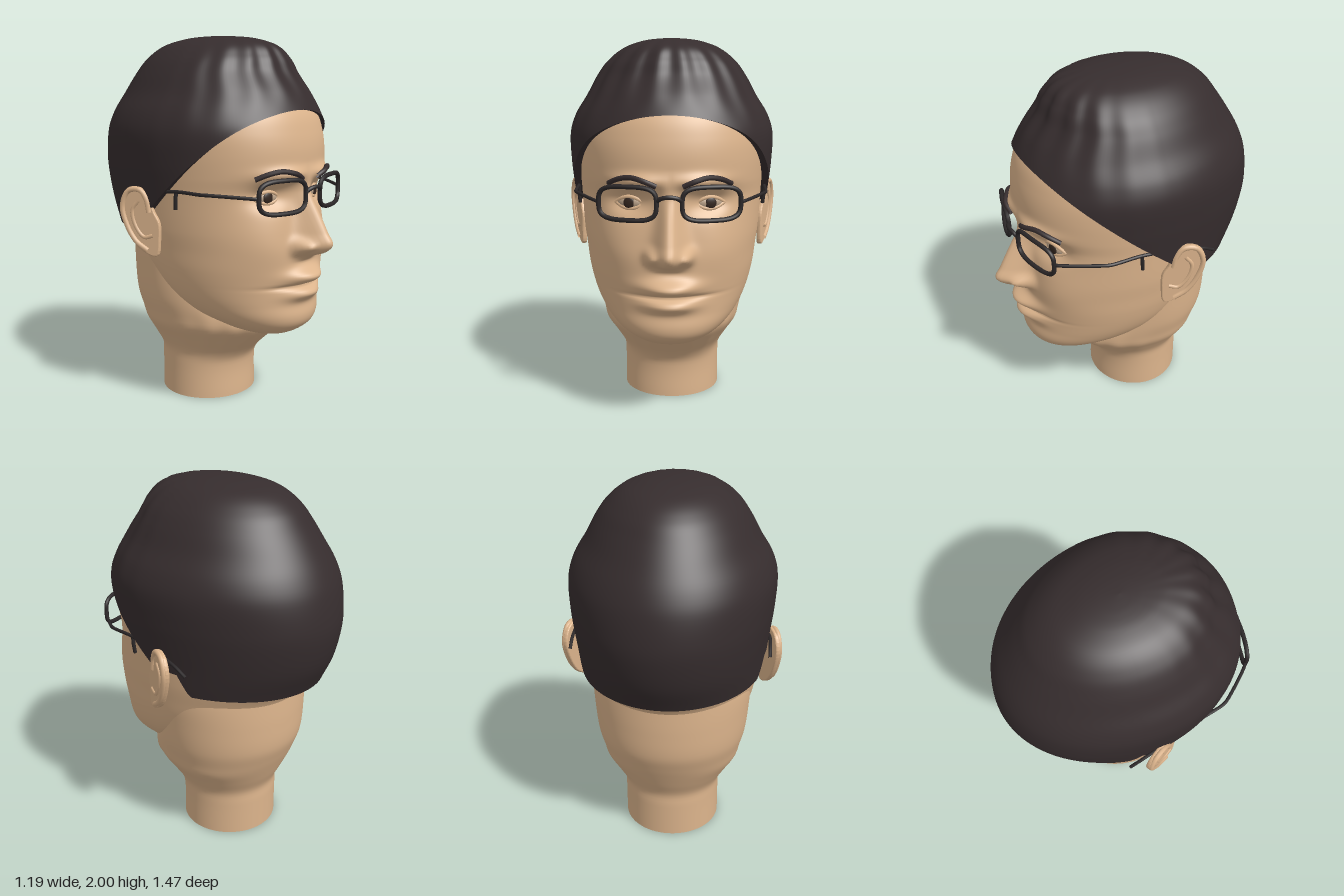
import * as THREE from 'three';

const V = (x, y, z) => new THREE.Vector3(x, y, z);
const mat = (name, color, side = THREE.FrontSide) =>
  Object.assign(new THREE.MeshStandardMaterial({ color, side }), { name });

// Smooth lookup in rows of [y, a, b, ...]; returns the interpolated [a, b, ...].
function lookup(rows, y) {
  const last = rows.length - 1;
  y = Math.min(Math.max(y, rows[0][0]), rows[last][0]);
  let i = 0;
  while (i < last - 1 && y > rows[i + 1][0]) i++;
  const slope = (k, c) => {
    const p = rows[Math.max(k - 1, 0)], q = rows[Math.min(k + 1, last)];
    return (q[c] - p[c]) / (q[0] - p[0]);
  };
  const h = rows[i + 1][0] - rows[i][0], t = (y - rows[i][0]) / h;
  return rows[0].slice(1).map((_, k) => {
    const c = k + 1, a = rows[i][c], b = rows[i + 1][c];
    return a + (b - a) * t * t * (3 - 2 * t)
      + h * t * (1 - t) * (slope(i, c) * (1 - t) - slope(i + 1, c) * t);
  });
}

// Section rows: y, half width, front z, back z, z of the widest point
const HEAD = [
  [0.425, 0, 0.4, 0.4, 0.4], [0.435, 0.12, 0.47, 0.3, 0.36], [0.46, 0.2, 0.525, 0.2, 0.3],
  [0.5, 0.27, 0.57, 0.08, 0.25], [0.55, 0.335, 0.585, -0.05, 0.17], [0.62, 0.39, 0.575, -0.2, 0.1],
  [0.7, 0.428, 0.57, -0.35, 0.05], [0.8, 0.455, 0.575, -0.46, 0.02], [0.9, 0.47, 0.575, -0.515, 0],
  [1.0, 0.483, 0.565, -0.575, 0], [1.2, 0.495, 0.55, -0.62, 0], [1.28, 0.5, 0.57, -0.64, 0],
  [1.4, 0.505, 0.575, -0.64, 0], [1.5, 0.5, 0.56, -0.62, 0], [1.6, 0.47, 0.525, -0.58, 0],
  [1.75, 0.39, 0.42, -0.5, 0],
];
const NECK = [
  [0, 0.273, 0.16, -0.37, -0.1], [0.2, 0.273, 0.16, -0.37, -0.1], [0.27, 0.28, 0.2, -0.37, -0.1],
  [0.36, 0.33, 0.29, -0.41, -0.1], [0.44, 0.38, 0.36, -0.445, -0.1], [0.5, 0.395, 0.36, -0.47, -0.1],
  [0.6, 0.42, 0.3, -0.503, -0.1], [0.75, 0.435, 0.25, -0.51, -0.1], [0.9, 0.44, 0.2, -0.505, -0.1],
  [1.0, 0.42, 0.2, -0.5, -0.1],
];
const HAIR = [
  [0.9, 0.5, 0.58, -0.6, 0], [1.0, 0.515, 0.58, -0.645, 0], [1.12, 0.525, 0.585, -0.7, 0],
  [1.25, 0.54, 0.59, -0.73, 0], [1.35, 0.55, 0.595, -0.735, 0], [1.5, 0.553, 0.585, -0.71, 0],
  [1.6, 0.522, 0.545, -0.67, 0], [1.7, 0.46, 0.49, -0.61, 0], [1.8, 0.405, 0.415, -0.54, 0],
  [1.88, 0.345, 0.375, -0.475, 0], [1.95, 0.255, 0.31, -0.37, -0.02], [1.985, 0.155, 0.19, -0.24, -0.03],
  [1.997, 0.07, 0.06, -0.13, -0.04], [2, 0, -0.04, -0.04, -0.04],
];
// Nose height above the face along y
const NOSE = [[0.845, 0], [0.875, 0.05], [0.9, 0.12], [0.945, 0.165], [1.0, 0.14], [1.1, 0.095],
  [1.2, 0.045], [1.28, 0.01], [1.35, 0]];

function section(rows, y, a) {
  const [w, front, back, mid] = lookup(rows, y);
  const c = Math.cos(a), s = Math.sin(a), n = rows === HEAD && s > 0 ? 2.12 : 2;
  const d = Math.pow(Math.max(0, 1 - Math.pow(Math.abs(c), n)), 1 / n);
  return V(w * c, y, mid + (s > 0 ? front - mid : back - mid) * d);
}

// Relief of the face: nose, lips, eye sockets, brows and cheeks
function relief(x, y) {
  const ax = Math.abs(x);
  const g = (cx, cy, sx, sy) => Math.exp(-(((ax - cx) / sx) ** 2) - ((y - cy) / sy) ** 2);
  const width = 0.07 - 0.02 * THREE.MathUtils.smoothstep(y, 0.94, 1.15);
  const lip = Math.exp(-((ax / 0.13) ** 2.2));
  return lookup(NOSE, y)[0] * Math.exp(-((ax / width) ** 2.2))
    + 0.065 * g(0.088, 0.93, 0.032, 0.036)
    + lip * (0.075 * g(ax, 0.765, 1, 0.04) + 0.058 * g(ax, 0.675, 1, 0.036))
    - 0.03 * g(0, 0.717, 0.18, 0.01)
    - 0.05 * g(0.2, 1.185, 0.1, 0.06) + 0.035 * g(0.15, 1.295, 0.13, 0.035)
    + 0.02 * g(0.27, 0.95, 0.14, 0.14);
}
function faceZ(x, y) {
  const w = lookup(HEAD, y)[0];
  return section(HEAD, y, Math.acos(x / w)).z + relief(x, y);
}

// Skin of quads over rings of points running from bottom to top
function loft(rows, segs, point) {
  const pos = [], index = [];
  for (let i = 0; i <= rows; i++) for (let j = 0; j < segs; j++) {
    pos.push(...point(i, (j / segs) * Math.PI * 2).toArray());
    if (i === rows) continue;
    const k = (j + 1) % segs, a = i * segs + j, b = a + segs, c = i * segs + k;
    index.push(a, b, c, b, c + segs, c);
  }
  const geo = new THREE.BufferGeometry();
  geo.setAttribute('position', new THREE.Float32BufferAttribute(pos, 3));
  geo.setIndex(index);
  geo.computeVertexNormals();
  return geo;
}

const tube = (pts, r, closed = false, segs = 32) =>
  new THREE.TubeGeometry(new THREE.CatmullRomCurve3(pts, closed, 'centripetal'), segs, r, 8, closed);

// Mirror across x, turning the faces the right way round again
function mirrored(geo) {
  const g = geo.index ? geo.toNonIndexed() : geo.clone();
  g.scale(-1, 1, 1);
  for (const name of ['position', 'normal']) {
    const at = g.attributes[name], p = V(), q = V();
    for (let i = 0; i < at.count; i += 3) {
      p.fromBufferAttribute(at, i + 1);
      q.fromBufferAttribute(at, i + 2);
      at.setXYZ(i + 1, q.x, q.y, q.z);
      at.setXYZ(i + 2, p.x, p.y, p.z);
    }
  }
  return g;
}

// Hairline height at depth z: slanted at the front, level at the nape
function hairline(z) {
  if (z > -0.05) return 1.14 + 0.88 * z;
  return 1.096 - 0.116 * THREE.MathUtils.clamp((-0.19 - z) / 0.06, 0, 1);
}

export function createModel() {
  const model = new THREE.Group();
  const skin = mat('skin', 0xdcb48c, THREE.DoubleSide), hairMat = mat('hair', 0x362d2e, THREE.DoubleSide);
  const frame = mat('frame', 0x2b2728), eyeMat = mat('eye', 0xb9a188), iris = mat('iris', 0x33261f);
  const add = (name, geo, material) => {
    const mesh = new THREE.Mesh(geo, material);
    mesh.name = name;
    model.add(mesh);
    return mesh;
  };

  // Head, and an open neck with faint tendons under the jaw
  add('head', loft(150, 224, (i, a) => {
    const p = section(HEAD, 0.425 + 1.325 * (i / 150), a);
    if (Math.sin(a) > 0) p.z += relief(p.x, p.y);
    return p;
  }), skin);
  add('neck', loft(50, 144, (i, a) => {
    const p = section(NECK, i / 50, a);
    const k = 1 + 0.014 * Math.cos(20 * a) * Math.max(0, Math.sin(a)) * Math.exp(-(((p.y - 0.42) / 0.1) ** 2));
    return p.set(p.x * k, p.y, p.z * k);
  }), skin);

  // Hair cap with an inward rim and combed ridges at the front
  add('hair', loft(62, 180, (i, a) => {
    let lo = 0.9, hi = 1.65;
    for (let k = 0; k < 24; k++) {
      const m = (lo + hi) / 2;
      if (m > hairline(section(HAIR, m, a).z)) hi = m; else lo = m;
    }
    const t = Math.max(0, i - 2) / 60;
    const p = section(HAIR, lo + (2 - lo) * Math.sin(t * Math.PI / 2), a);
    const ridge = 0.022 * Math.cos(18 * a) * Math.max(0, Math.sin(a)) * Math.sin(Math.PI * t) ** 1.5;
    const k = i === 0 ? 0.92 : 1 + ridge;
    return p.set(p.x * k, p.y, p.z * k);
  }), hairMat);

  // Right ear and left ear: a thin blade with a rolled rim
  const outline = [[0, 0.94], [0.01, 0.87], [0.06, 0.876], [0.13, 0.925], [0.185, 1.02], [0.21, 1.12],
    [0.175, 1.195], [0.1, 1.21], [0.06, 1.165], [0.03, 1.09], [0, 1.03]].map(p => new THREE.Vector2(...p));
  const blade = new THREE.ExtrudeGeometry(new THREE.Shape(new THREE.SplineCurve([...outline, outline[0]]).getPoints(50)),
    { depth: 0.008, bevelThickness: 0.01, bevelSize: 0.008, bevelSegments: 3 });
  const roll = [[0.05, 1.09], [0.065, 1.16], [0.1, 1.205], [0.165, 1.2], [0.202, 1.12], [0.178, 1.02],
    [0.125, 0.935], [0.06, 0.89]].map(p => V(p[0], p[1], 0.016));
  const fold = [[0.11, 1.15], [0.145, 1.1], [0.13, 1.02], [0.08, 0.96], [0.03, 0.97]].map(p => V(p[0], p[1], 0.014));
  const earParts = { earBlade: blade, earRim: tube(roll, 0.015), earFold: tube(fold, 0.012) };
  for (const [name, geo] of Object.entries(earParts)) {
    geo.rotateY(1.2).translate(0.492, 0, 0);
    add(name + 'Left', geo, skin);
    add(name + 'Right', mirrored(geo), skin);
  }

  for (const s of [1, -1]) {
    const side = s > 0 ? 'Left' : 'Right';
    // Eye with lids
    const ez = faceZ(0.2, 1.18);
    const eye = add('eyeball' + side, new THREE.SphereGeometry(1, 24, 16).scale(0.068, 0.034, 0.026), eyeMat);
    eye.position.set(s * 0.2, 1.18, ez);
    eye.rotation.y = s * 0.35;
    const pupil = add('iris' + side, new THREE.SphereGeometry(1, 20, 12).scale(0.03, 0.029, 0.009), iris);
    pupil.position.set(s * 0.203, 1.181, ez + 0.021);
    pupil.rotation.y = s * 0.25;
    for (const [name, h] of [['upperLid', 0.031], ['lowerLid', -0.028]]) {
      const pts = [-1, -0.5, 0, 0.5, 1].map(u =>
        V(s * (0.2 + 0.072 * u), 1.18 + h * (1 - u * u), ez - 0.025 * u + 0.018 * (1 - u * u)));
      add(name + side, tube(pts, 0.01), skin);
    }
    // Eyebrow
    const brow = [[0.065, 1.277], [0.12, 1.302], [0.19, 1.318], [0.25, 1.308], [0.305, 1.28]];
    add('eyebrow' + side, tube(brow.map(([x, y]) => V(s * x, y, faceZ(x, y) + 0.008)), 0.013), hairMat);

    // Glasses rim, arm and hinge
    const rim = Array.from({ length: 28 }, (_, i) => {
      const a = (i / 28) * Math.PI * 2, c = Math.cos(a), d = Math.sin(a);
      const x = 0.205 + 0.143 * Math.sign(c) * Math.abs(c) ** 0.58;
      return V(s * x, 1.195 + 0.082 * Math.sign(d) * Math.abs(d) ** 0.58, 0.615 - 0.62 * x * x);
    });
    add('glassesRim' + side, tube(rim, 0.012, true, 80), frame);
    const arm = [V(0.345, 1.195, 0.535), V(0.36, 1.197, 0.525), V(0.485, 1.21, 0.33), V(0.495, 1.21, 0.3),
      V(0.505, 1.212, 0.13), V(0.52, 1.2, 0), V(0.53, 1.16, -0.2), V(0.528, 1.12, -0.28)];
    add('glassesArm' + side, tube(arm.map(p => p.setX(s * p.x)), 0.009, false, 60), frame);
    add('armHook' + side, tube([V(s * 0.5, 1.22, 0.135), V(s * 0.502, 1.17, 0.13), V(s * 0.498, 1.12, 0.125)], 0.01), frame);
  }

  // Glasses bridge
  add('glassesBridge', tube([V(-0.065, 1.205, 0.61), V(-0.04, 1.225, 0.625), V(0, 1.232, 0.632),
    V(0.04, 1.225, 0.625), V(0.065, 1.205, 0.61)], 0.011), frame);
  return model;
}
